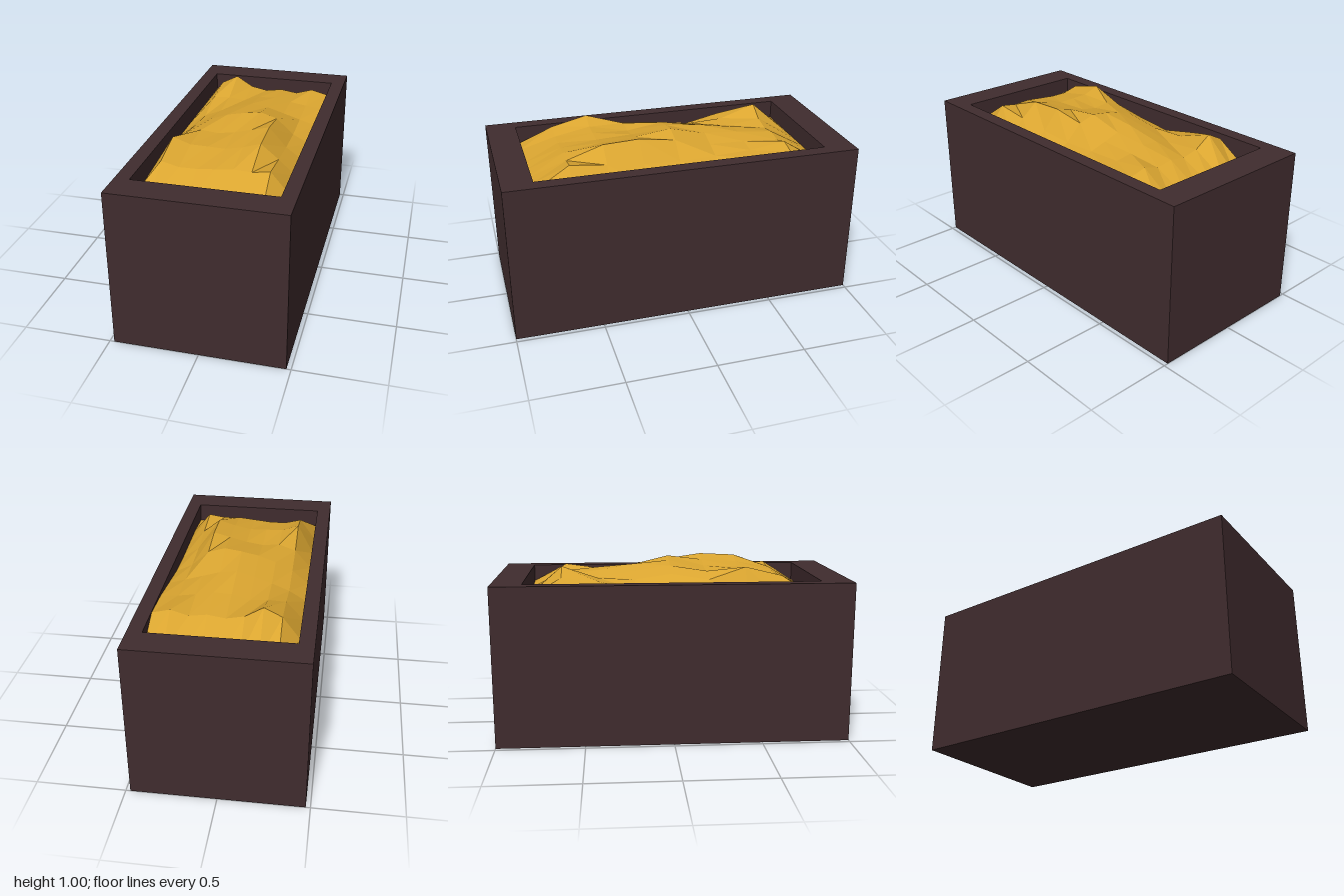
import * as THREE from 'three';

const W = 0.95, D = 2, H = 0.91;        // outer crate
const IW = 0.786, ID = 1.656;           // opening
const FLOOR = 0.06;

// Heights of the heap above y = 0.8, in hundredths: rows back to front, columns -x to +x
const HEAP = [
  [0, 0, 0, 0, 0, 0, 0, 0, 1],
  [0, 13, 18, 12, 10, 11.5, 10, 13, 10.5],
  [0, 10.5, 11, 10, 13, 13.5, 11.5, 10, 9],
  [0, 6, 10, 13.5, 16.5, 15, 12, 9, 6],
  [0, 8, 13, 16.5, 18.5, 20, 17, 8, 3],
  [0, 11, 14.5, 13.5, 15, 17.5, 20, 9, 2],
  [0, 18, 14.5, 14.3, 14, 16, 19, 11, 2],
  [0, 13, 10.5, 10.5, 11.5, 12.5, 12, 13.5, 2],
  [0, 0, 0, 0, 0, 0, 0, 0, 0],
];

function rectangle(target, w, d) {
  const x = w / 2, y = d / 2;
  target.moveTo(-x, -y);
  target.lineTo(x, -y);
  target.lineTo(x, y);
  target.lineTo(-x, y);
  target.closePath();
  return target;
}

export function createModel() {
  const group = new THREE.Group();
  group.name = 'filledCrate';

  const darkWood = new THREE.MeshStandardMaterial({ color: 0x402c2e });
  darkWood.name = 'dark wood';
  const gold = new THREE.MeshStandardMaterial({ color: 0xdaa530, flatShading: true, side: THREE.DoubleSide });
  gold.name = 'golden grain';

  // Four walls as one rectangular ring
  const ring = rectangle(new THREE.Shape(), W, D);
  ring.holes.push(rectangle(new THREE.Path(), IW, ID));
  const wallGeometry = new THREE.ExtrudeGeometry(ring, { depth: H, bevelEnabled: false });
  wallGeometry.rotateX(-Math.PI / 2);
  const walls = new THREE.Mesh(wallGeometry, darkWood);
  walls.name = 'crateWalls';
  group.add(walls);

  // Floor closing the opening from below
  const floor = new THREE.Mesh(new THREE.BoxGeometry(IW, FLOOR, ID), darkWood);
  floor.name = 'crateFloor';
  floor.position.y = FLOOR / 2;
  group.add(floor);

  // Faceted heap: a grid lifted by the height table
  const n = HEAP.length;
  const heapGeometry = new THREE.PlaneGeometry(IW, ID, n - 1, n - 1);
  heapGeometry.rotateX(-Math.PI / 2);
  const position = heapGeometry.attributes.position;
  for (let j = 0; j < n; j++) {
    for (let i = 0; i < n; i++) {
      position.setY(j * n + i, 0.8 + HEAP[j][i] / 100);
    }
  }
  heapGeometry.computeVertexNormals();
  const heap = new THREE.Mesh(heapGeometry, gold);
  heap.name = 'grainHeap';
  group.add(heap);

  return group;
}
